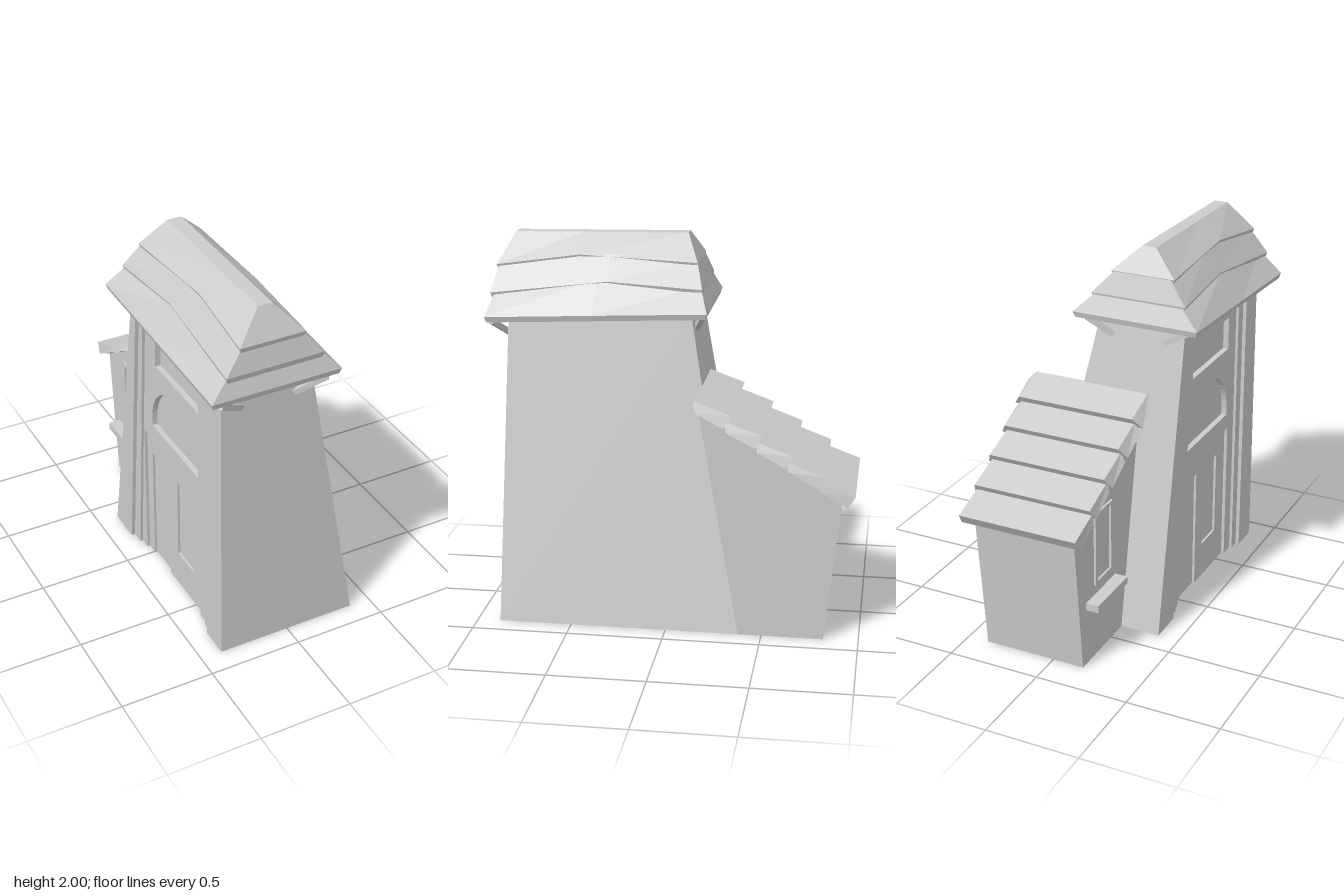
import * as THREE from 'three';

const material = new THREE.MeshStandardMaterial({ color: 0xcccccc, flatShading: true, side: THREE.DoubleSide });

function add(parent, name, geometry) {
  const mesh = new THREE.Mesh(geometry, material);
  mesh.name = name;
  parent.add(mesh);
  return mesh;
}

// Skin between rings listed bottom to top, each counterclockwise seen from above
function loft(rings, capTop = true, capBottom = false) {
  const out = [];
  const tri = (a, b, c) => out.push(...a, ...b, ...c);
  const n = rings[0].length;
  for (let r = 0; r + 1 < rings.length; r++) {
    for (let i = 0; i < n; i++) {
      const j = (i + 1) % n, a = rings[r], b = rings[r + 1];
      tri(a[i], a[j], b[j]);
      tri(a[i], b[j], b[i]);
    }
  }
  const top = rings[rings.length - 1], base = rings[0];
  for (let i = 1; i + 1 < n; i++) {
    if (capTop) tri(top[0], top[i], top[i + 1]);
    if (capBottom) tri(base[0], base[i + 1], base[i]);
  }
  const g = new THREE.BufferGeometry();
  g.setAttribute('position', new THREE.Float32BufferAttribute(out, 3));
  g.computeVertexNormals();
  return g;
}

const polygon = (pts, Type = THREE.Shape) => new Type(pts.map(([z, y]) => new THREE.Vector2(z, y)));
const rect = (z0, z1, y0, y1, Type) => polygon([[z0, y0], [z1, y0], [z1, y1], [z0, y1]], Type);

// Plate drawn in (z, y) whose outer face looks towards -x
function plate(shape, outerX, depth) {
  const g = new THREE.ExtrudeGeometry(shape, { depth, bevelEnabled: false, curveSegments: 10 });
  g.rotateY(-Math.PI / 2);
  g.translate(outerX + depth, 0, 0);
  return g;
}

// Square bar between two points
function strut(parent, name, from, to, size) {
  const a = new THREE.Vector3(...from), b = new THREE.Vector3(...to);
  const m = add(parent, name, new THREE.BoxGeometry(size, size, a.distanceTo(b)));
  m.position.copy(a).lerp(b, 0.5);
  m.lookAt(b);
}

// Rectangular roof ring with three heights from front to back and sides bowed in
function roofRing(x0, x1, z0, z1, [yf, ym, yb], midZ, bow) {
  return [[x1, yf, z0], [x1 - bow, ym, midZ], [x1, yb, z1],
    [x0, yb, z1], [x0 + bow, ym, midZ], [x0, yf, z0]];
}

function buildTower() {
  const tower = new THREE.Group();
  tower.name = 'tower';
  const innerX = -0.32, outerX = -0.385;
  add(tower, 'towerWalls', loft([
    [[0.385, 0, 0.88], [0.385, 0, -0.38], [innerX, 0, -0.38], [innerX, 0, 0.88]],
    [[0.088, 1.61, 0.86], [0.088, 1.61, -0.095], [innerX, 1.61, -0.095], [innerX, 1.61, 0.86]],
  ]));

  // Stepped pilasters either side of the entrance face
  const pilasters = [
    ['backPilaster', [[-0.38, 0], [-0.19, 0], [-0.05, 1.61], [-0.095, 1.61]], 0],
    ['frontPilaster', [[0.72, 0], [0.88, 0], [0.86, 1.61], [0.72, 1.61]], 0],
    ['backPilasterStep', [[-0.19, 0], [-0.12, 0], [-0.01, 1.61], [-0.05, 1.61]], 0.02],
    ['frontPilasterStep', [[0.66, 0], [0.72, 0], [0.72, 1.61], [0.66, 1.61]], 0.02],
  ];
  for (const [name, pts, inset] of pilasters) {
    add(tower, name, plate(polygon(pts), outerX + inset, innerX - outerX - inset));
  }

  // Entrance face pierced by a window, an arched window and the doorway
  const face = polygon([[-0.12, 0], [-0.06, 0], [-0.06, 0.79], [0.58, 0.79], [0.58, 0],
    [0.66, 0], [0.66, 1.61], [-0.01, 1.61]]);
  const arch = new THREE.Path();
  arch.moveTo(0.04, 0.88);
  arch.lineTo(0.56, 0.88);
  arch.lineTo(0.56, 0.92);
  arch.absarc(0.3, 0.92, 0.26, 0, Math.PI, false);
  arch.lineTo(0.04, 0.88);
  face.holes.push(arch, rect(0.09, 0.56, 1.27, 1.45, THREE.Path));
  add(tower, 'entranceFace', plate(face, -0.35, 0.03));

  // Door leaf with an open doorway and a sunken panel
  const door = polygon([[-0.06, 0], [0.0, 0], [0.0, 0.67], [0.2, 0.67], [0.2, 0], [0.58, 0], [0.58, 0.79], [-0.06, 0.79]]);
  door.holes.push(rect(0.29, 0.47, 0.2, 0.67, THREE.Path));
  add(tower, 'door', plate(door, -0.333, 0.013));
  return tower;
}

function buildRoof() {
  const roof = new THREE.Group();
  roof.name = 'towerRoof';
  // Each tier: eave, top edge, then middle station
  const tiers = [
    [[-0.485, 0.2, 0.963, -0.185, [1.595, 1.62, 1.645]], [-0.37, 0.08, 0.925, -0.14, [1.72, 1.78, 1.76]], 0.4, 0],
    [[-0.405, 0.11, 0.95, -0.15, [1.705, 1.775, 1.75]], [-0.3, -0.01, 0.92, -0.11, [1.85, 1.9, 1.88]], 0.34, 0.02],
    [[-0.33, 0.015, 0.935, -0.115, [1.835, 1.893, 1.87]], [-0.2, -0.125, 0.86, -0.05, [1.985, 1.991, 2.0]], 0.5, 0.02],
  ];
  tiers.forEach(([eave, top, midZ, bow], i) => {
    const [x0, x1, z0, z1, ys] = eave;
    const under = roofRing(x0 + 0.01, x1 - 0.01, z0 - 0.008, z1 + 0.008, ys.map(y => y - 0.03), midZ, bow);
    add(roof, 'roofTier' + (i + 1), loft(
      [under, roofRing(...eave, midZ, bow), roofRing(...top, midZ, 0)], true, true));
  });

  // Slanted brackets under the four corners
  for (const [wallX, eaveX] of [[-0.28, -0.43], [0.005, 0.135]]) {
    strut(roof, 'frontBracket', [wallX, 1.465, 0.862], [eaveX, 1.56, 0.94], 0.028);
    strut(roof, 'backBracket', [wallX, 1.53, -0.11], [eaveX, 1.62, -0.155], 0.028);
  }
  return roof;
}

function buildAnnex() {
  const annex = new THREE.Group();
  annex.name = 'annex';
  const l = -0.17, r = 0.385;
  add(annex, 'annexWalls', loft([
    [[r, 0, -0.38], [r, 0, -0.82], [l, 0, -0.82], [l, 0, -0.38]],
    [[r, 1.21, -0.165], [r, 0.77, -0.9], [l, 0.77, -0.9], [l, 1.21, -0.165]],
  ]));

  // Overlapping roof boards, wider below than above
  for (let i = 0; i < 5; i++) {
    const dz = -0.156 * i, dy = -0.0985 * i, flare = 0.045 - 0.009 * i;
    const ring = (x0, x1, za, ya, zb, yb) => [[x1, ya + dy, za + dz], [x1, yb + dy, zb + dz],
      [x0, yb + dy, zb + dz], [x0, ya + dy, za + dz]];
    add(annex, 'roofBoard', loft([
      ring(-0.21 - flare, 0.435 + flare, -0.16, 1.212, -0.304, 1.135),
      ring(-0.21, 0.435, -0.15, 1.26, -0.34, 1.19),
    ], true, true));
  }

  // Side window frame and sill
  const frame = rect(-0.69, -0.5, 0.41, 0.81);
  frame.holes.push(rect(-0.67, -0.52, 0.43, 0.79, THREE.Path));
  add(annex, 'windowFrame', plate(frame, l - 0.012, 0.02));
  add(annex, 'windowSill', new THREE.BoxGeometry(0.08, 0.04, 0.33)).position.set(-0.2, 0.335, -0.615);
  return annex;
}

export function createModel() {
  const model = new THREE.Group();
  model.name = 'towerHouse';
  model.add(buildTower(), buildRoof(), buildAnnex());
  return model;
}
